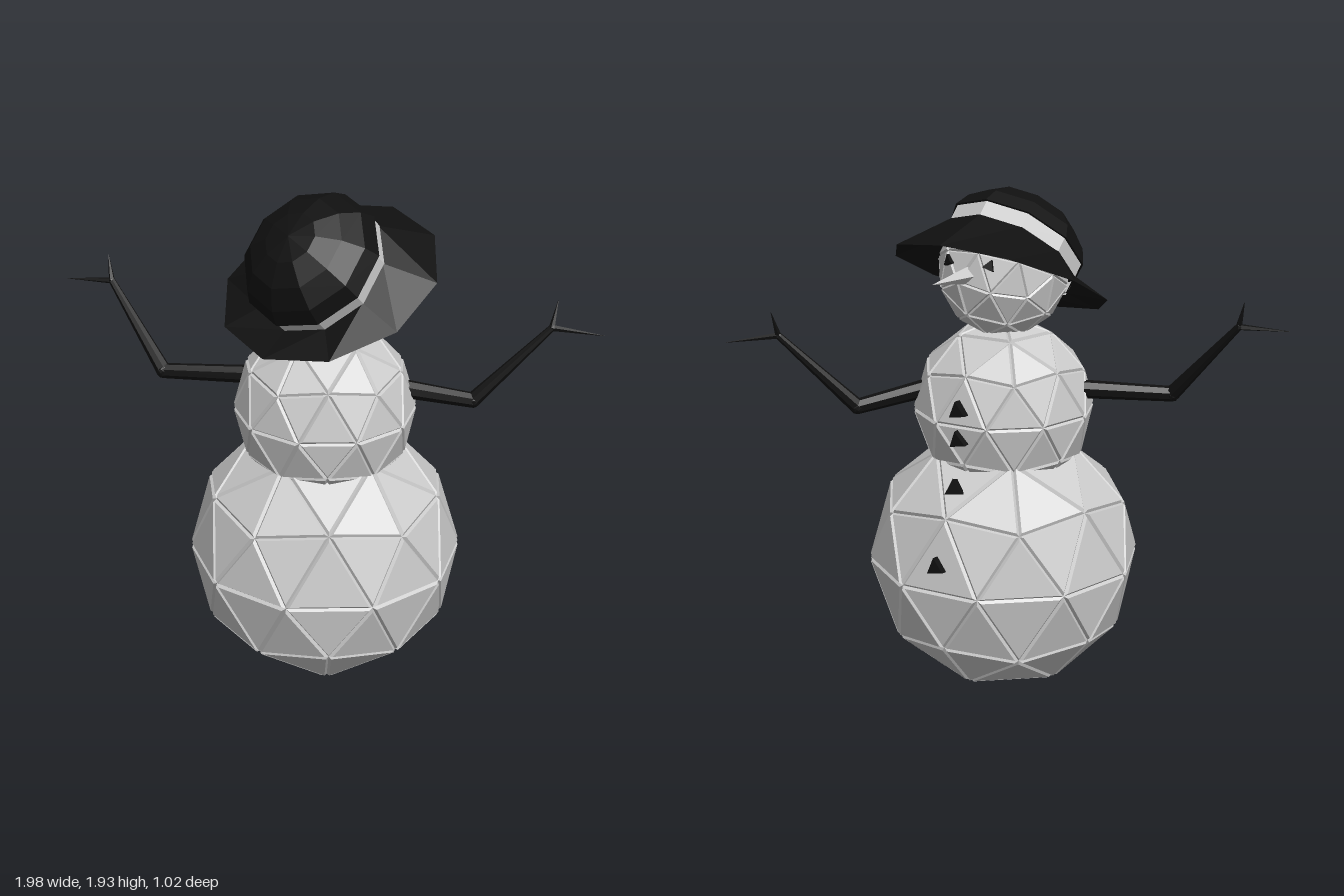
import * as THREE from 'three';

const V = (x, y, z) => new THREE.Vector3(x, y, z);
const grey = new THREE.MeshStandardMaterial({ color: 0xcccccc, flatShading: true });
const greyThin = new THREE.MeshStandardMaterial({ color: 0xcccccc, flatShading: true, side: THREE.DoubleSide });
const black = new THREE.MeshStandardMaterial({ color: 0x101010, flatShading: true });
const blackThin = new THREE.MeshStandardMaterial({ color: 0x101010, flatShading: true, side: THREE.DoubleSide });

function add(parent, name, geometry, material, position) {
  const mesh = new THREE.Mesh(geometry, material);
  mesh.name = name;
  if (position) mesh.position.copy(position);
  parent.add(mesh);
  return mesh;
}

// Geodesic ball whose triangles are separated by narrow grooves
function groovedBall(radius, width, depth) {
  const source = new THREE.IcosahedronGeometry(radius, 1);
  source.rotateZ(0.5536); // a corner points straight up
  source.rotateY(0.164);
  const p = source.attributes.position;
  const out = [];
  const tri = (...points) => points.forEach((v) => out.push(v.x, v.y, v.z));
  for (let i = 0; i < p.count; i += 3) {
    const corners = [0, 1, 2].map((j) => new THREE.Vector3().fromBufferAttribute(p, i + j));
    const mid = V(0, 0, 0).add(corners[0]).add(corners[1]).add(corners[2]).divideScalar(3);
    const inset = width / (0.163 * radius);
    const inner = corners.map((c) => c.clone().lerp(mid, inset));
    const sunk = corners.map((c) => c.clone().multiplyScalar(1 - depth / radius));
    tri(...inner);
    for (let j = 0; j < 3; j++) {
      const k = (j + 1) % 3;
      tri(sunk[j], sunk[k], inner[k]);
      tri(sunk[j], inner[k], inner[j]);
    }
  }
  const geometry = new THREE.BufferGeometry();
  geometry.setAttribute('position', new THREE.Float32BufferAttribute(out, 3));
  geometry.computeVertexNormals();
  return geometry;
}

// Tapered rod between two points
function rod(parent, name, a, b, ra, rb, material, sides = 8) {
  const dir = b.clone().sub(a);
  const mesh = add(parent, name, new THREE.CylinderGeometry(rb, ra, dir.length(), sides), material,
    a.clone().add(b).multiplyScalar(0.5));
  mesh.quaternion.setFromUnitVectors(V(0, 1, 0), dir.normalize());
  return mesh;
}

// Three-sided stud facing outwards
function stud(parent, name, position, outward, radius) {
  const mesh = add(parent, name, new THREE.CylinderGeometry(radius, radius, 0.035, 3), black, position);
  mesh.quaternion.setFromUnitVectors(V(0, 1, 0), outward.clone().normalize());
}

function arm(parent, name, shoulder, elbow, hand, finger, thumb) {
  const group = new THREE.Group();
  group.name = name;
  rod(group, 'upperArm', shoulder, elbow, 0.036, 0.029, black);
  add(group, 'elbow', new THREE.IcosahedronGeometry(0.03, 1), black, elbow);
  rod(group, 'forearm', elbow, hand, 0.029, 0.013, black);
  add(group, 'hand', new THREE.IcosahedronGeometry(0.015, 0), black, hand);
  rod(group, 'finger', hand, finger, 0.012, 0.001, black, 5);
  rod(group, 'thumb', hand, thumb, 0.012, 0.001, black, 5);
  parent.add(group);
}

export function createModel() {
  const root = new THREE.Group();
  root.name = 'snowman';

  // Snowballs
  const headCentre = V(0.08, 1.64, 0);
  add(root, 'lowerBody', groovedBall(0.522, 0.009, 0.012), grey, V(0.08, 0.53, 0));
  add(root, 'upperBody', groovedBall(0.345, 0.008, 0.01), grey, V(0.08, 1.12, 0.005));
  const yaw = -0.24;
  const head = add(root, 'head', groovedBall(0.248, 0.006, 0.008), grey, headCentre);
  head.rotation.set(0.45, yaw, 0, 'YXZ');

  // Buttons down the chest
  const buttons = [[1.18, 0.325, 0.06], [1.07, 0.325, -0.05], [0.89, 0.355, 0.36], [0.63, 0.487, 0.1]];
  for (const [y, r, rise] of buttons) {
    stud(root, 'button', V(0.08 + 0.17 * r, y, -0.985 * r), V(0.17, rise, -0.985), 0.038);
  }

  // Face
  const face = new THREE.Group();
  face.name = 'face';
  face.position.copy(headCentre);
  face.rotation.y = yaw;
  rod(face, 'nose', V(0, 0.02, -0.2), V(0, 0.025, -0.437), 0.036, 0.001, grey, 4);
  for (const side of [-1, 1]) {
    stud(face, 'eye', V(side * 0.085, 0.06, -0.21), V(side * 0.4, 0.25, -1), 0.025);
  }
  root.add(face);

  // Hat crown and band, tipped away from the face
  const hat = new THREE.Group();
  hat.name = 'hat';
  hat.position.set(0.08, 1.65, 0.015);
  hat.rotation.set(0.79, yaw, 0, 'YXZ');
  const profile = [[0.25, 0.1], [0.272, 0.105], [0.245, 0.165], [0.185, 0.228], [0.1, 0.268], [0, 0.283]];
  add(hat, 'crown', new THREE.LatheGeometry(profile.map(([x, y]) => new THREE.Vector2(x, y)), 10), blackThin);
  const band = add(hat, 'hatBand', new THREE.CylinderGeometry(0.264, 0.264, 0.065, 10, 1, true), greyThin);
  band.position.y = 0.075;
  root.add(hat);

  // Brim, lofted from the band to a flatter outer rim
  const innerFrame = new THREE.Matrix4().compose(hat.position, hat.quaternion, V(1, 1, 1));
  const outerFrame = new THREE.Matrix4().compose(V(0.088, 1.613, -0.012),
    new THREE.Quaternion().setFromEuler(new THREE.Euler(0.455, yaw, 0, 'YXZ')), V(1, 1, 1));
  const brim = new THREE.CylinderGeometry(1, 1, 2, 10, 1, true);
  const p = brim.attributes.position;
  for (let i = 0; i < p.count; i++) {
    const isInner = p.getY(i) > 0;
    const r = isInner ? 0.26 : 0.415;
    const v = V(p.getX(i) * r, isInner ? 0.05 : 0, p.getZ(i) * r).applyMatrix4(isInner ? innerFrame : outerFrame);
    p.setXYZ(i, v.x, v.y, v.z);
  }
  brim.computeVertexNormals();
  add(root, 'brim', brim, blackThin);

  // Stick arms
  arm(root, 'leftArm', V(0.32, 1.2, -0.1), V(0.57, 1.135, -0.25), V(0.815, 1.42, -0.39),
    V(0.995, 1.395, -0.46), V(0.82, 1.515, -0.43));
  arm(root, 'rightArm', V(-0.15, 1.205, 0.02), V(-0.54, 1.19, 0.13), V(-0.8, 1.485, 0.055),
    V(-0.98, 1.475, 0.088), V(-0.822, 1.58, 0.035));

  return root;
}
